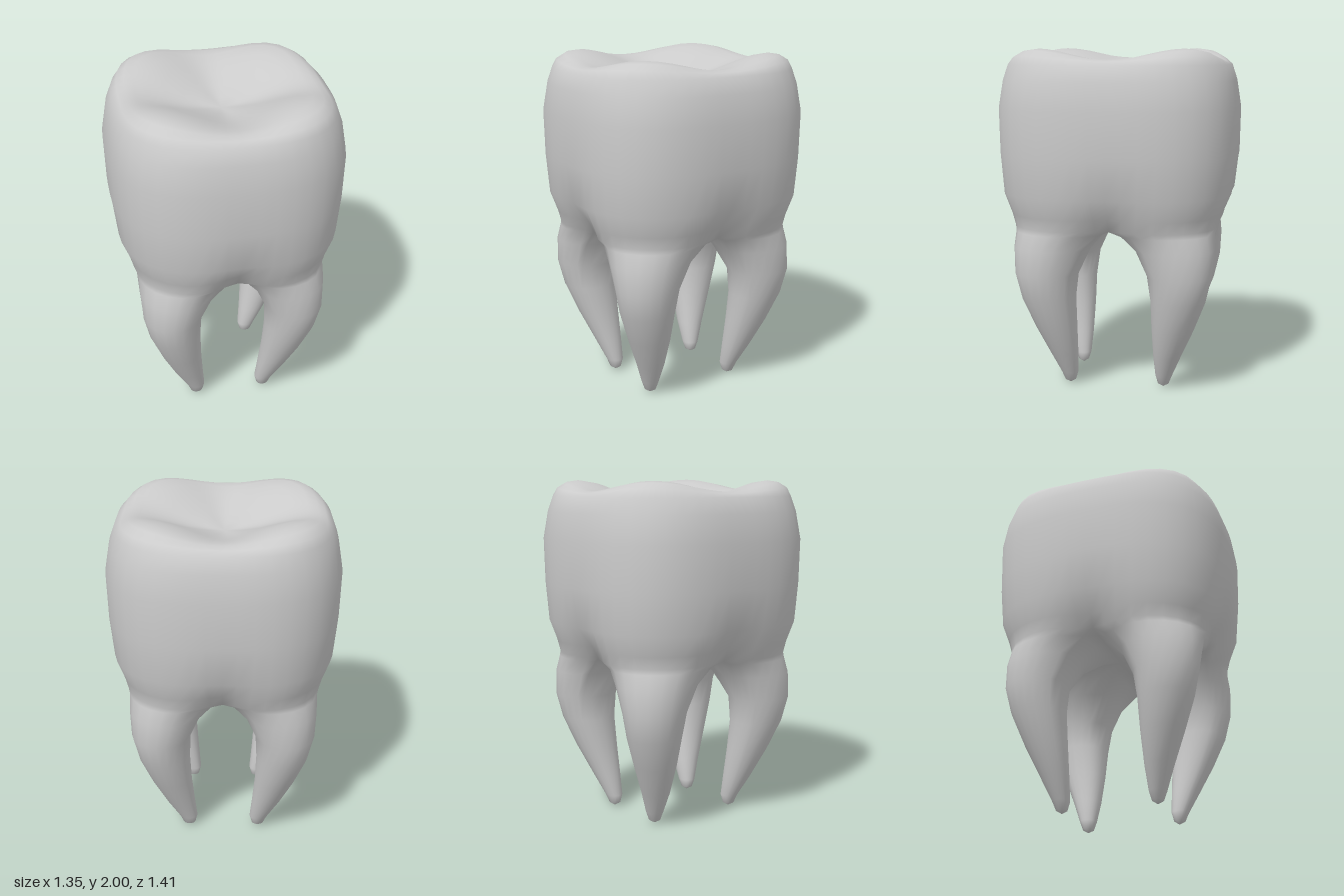
import * as THREE from 'three';
import { mergeVertices } from 'three/addons/utils/BufferGeometryUtils.js';

const M = 12;      // points per quadrant of the crown
const N = M * 4;   // points around the crown
const K = 5;       // points from the crown's side to its centre, between roots

// Crown rings, bottom up: y, half width, half depth, squareness, dent at the mid sides
const CROWN = [
  [0.98, 0.58, 0.615, 3.1, 0.14],
  [1.05, 0.6, 0.635, 3.0, 0.11],
  [1.17, 0.645, 0.68, 2.9, 0.03],
  [1.4, 0.667, 0.7, 2.85, 0],
  [1.66, 0.675, 0.705, 2.85, 0],
  [1.82, 0.648, 0.68, 2.85, 0],
  [1.91, 0.615, 0.65, 2.9, 0],
];

// Chewing surface, rim to centre: scale, height at mid sides, height at cusps
const TOP = [
  [0.94, 1.93, 1.958],
  [0.87, 1.94, 1.99],
  [0.78, 1.935, 2.0],
  [0.65, 1.915, 1.985],
  [0.5, 1.89, 1.945],
  [0.33, 1.86, 1.89],
  [0.16, 1.84, 1.85],
  [0, 1.83, 1.83],
];

// Root rings, top down: y, inner x, outer x, inner z, outer z, roundness
const ROOT = [
  [0.95, 0.05, 0.56, 0.05, 0.595, 0.35],
  [0.86, 0.12, 0.55, 0.13, 0.59, 0.75],
  [0.71, 0.19, 0.535, 0.2, 0.575, 1],
  [0.56, 0.197, 0.5, 0.22, 0.54, 1],
  [0.38, 0.19, 0.43, 0.222, 0.47, 1],
  [0.2, 0.175, 0.345, 0.227, 0.39, 1],
  [0.07, 0.162, 0.27, 0.235, 0.335, 1],
  [0.02, 0.175, 0.248, 0.25, 0.315, 1],
  [0, 0.21, 0.21, 0.282, 0.282, 1],
];

// Rounded-square ring with optional dents at the middle of each side
function squareRing(rx, rz, n, dent, heightAt) {
  return Array.from({ length: N }, (_, j) => {
    const a = (j / N) * Math.PI * 2, c = Math.cos(a), s = Math.sin(a);
    const r = (Math.abs(c) ** n + Math.abs(s) ** n) ** (-1 / n)
      * (1 - dent * Math.abs(Math.cos(2 * a)) ** 8);
    return new THREE.Vector3(rx * r * c, heightAt(a), rz * r * s);
  });
}

// Joins rings, listed bottom up, into triangles
function skin(rings, out) {
  for (let i = 0; i < rings.length - 1; i++) {
    const low = rings[i], high = rings[i + 1], n = low.length;
    for (let j = 0; j < n; j++) {
      const k = (j + 1) % n;
      for (const p of [low[j], high[j], low[k], low[k], high[j], high[k]]) out.push(p);
    }
  }
}

function crownRings() {
  const rings = CROWN.map(([y, rx, rz, n, dent]) => squareRing(rx, rz, n, dent, () => y));
  const [, rx, rz] = CROWN[CROWN.length - 1];
  for (const [s, side, cusp] of TOP) {
    const height = (a) => side + (cusp - side) * Math.sin(2 * a) ** 2;
    rings.push(squareRing(rx * s, rz * s, 3.3, 0, height));
  }
  return rings;
}

// One root grows out of a quadrant of the crown's lowest ring
function rootRings(neck, q) {
  const sx = q === 0 || q === 3 ? 1 : -1, sz = q < 2 ? 1 : -1;
  const centre = new THREE.Vector3(0, CROWN[0][0], 0);
  const first = [];
  for (let j = 0; j <= M; j++) first.push(neck[(q * M + j) % N]);
  const start = first[0], end = first[M];
  for (let k = 1; k <= K; k++) first.push(end.clone().lerp(centre, k / K));
  for (let k = 1; k < K; k++) first.push(centre.clone().lerp(start, k / K));

  const hx = CROWN[0][1] / 2, hz = CROWN[0][2] / 2;
  const rings = [first];
  for (const [y, x0, x1, z0, z1, round] of ROOT) {
    rings.push(first.map((p) => {
      const u = p.x / hx - sx, v = p.z / hz - sz;
      const a = Math.atan2(v, u);
      const px = THREE.MathUtils.lerp(u, Math.cos(a), round);
      const pz = THREE.MathUtils.lerp(v, Math.sin(a), round);
      return new THREE.Vector3(
        (sx * (x0 + x1) + px * (x1 - x0)) / 2, y,
        (sz * (z0 + z1) + pz * (z1 - z0)) / 2);
    }));
  }
  return rings.reverse();
}

export function createModel() {
  const points = [];
  const crown = crownRings();
  skin(crown, points);
  for (let q = 0; q < 4; q++) skin(rootRings(crown[0], q), points);

  // Crown and roots share one seamless smooth surface
  const geometry = mergeVertices(new THREE.BufferGeometry().setFromPoints(points), 1e-4);
  geometry.computeVertexNormals();
  const tooth = new THREE.Mesh(geometry, new THREE.MeshStandardMaterial({ color: 0xcccccc }));
  tooth.name = 'crownAndRoots';

  const group = new THREE.Group();
  group.name = 'molarTooth';
  group.add(tooth);
  return group;
}
